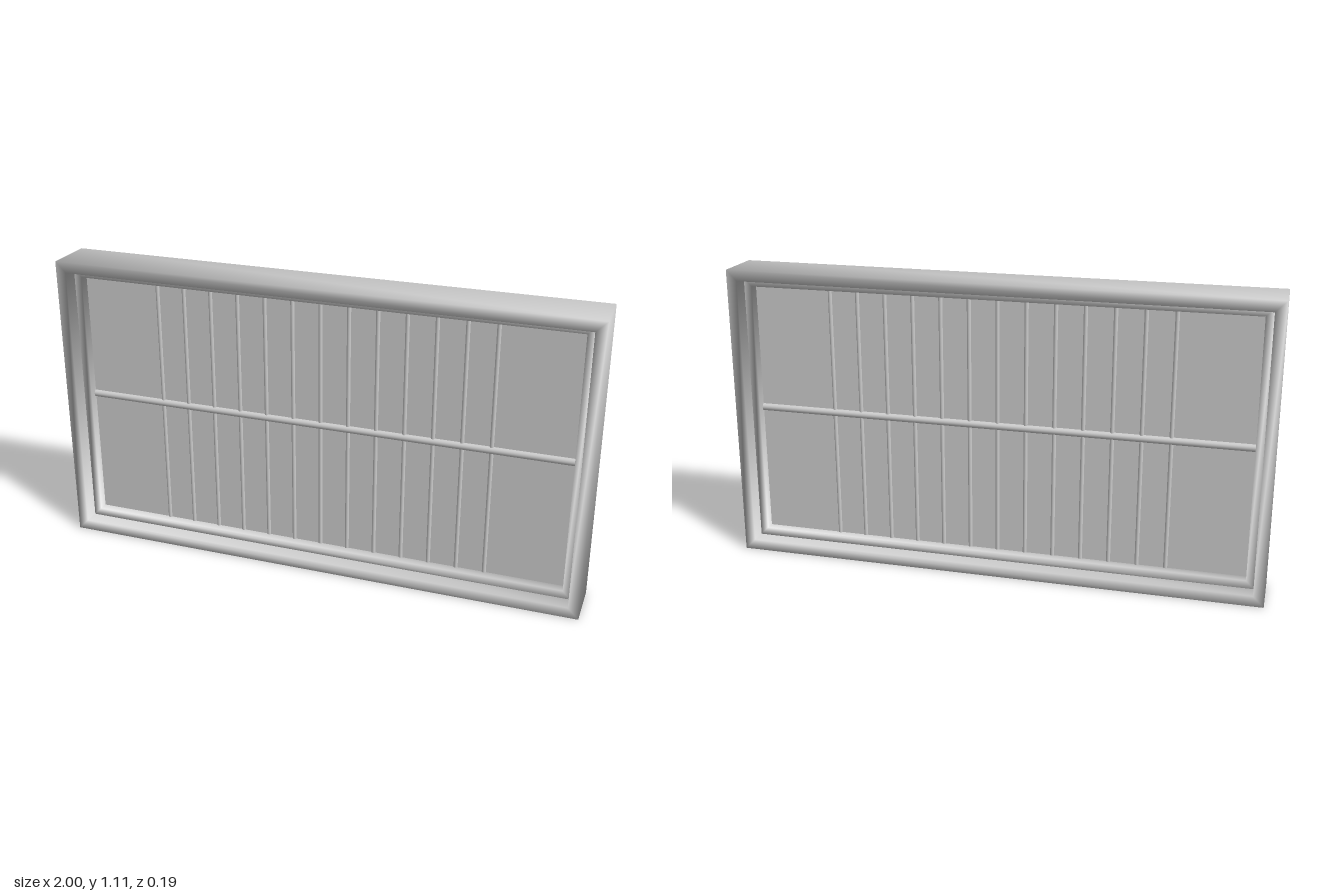
import * as THREE from 'three';

const WIDTH = 2, HEIGHT = 1.11;

// Rectangular ring: outer/inner insets from the outline, extending z = -d..d, smooth shared normals
function ringGeometry(outer, inner, d) {
  const profile = [[outer, d], [outer, -d], [inner, -d], [inner, d]];
  const corners = [[-1, -1], [1, -1], [1, 1], [-1, 1]];
  const positions = [], index = [];
  corners.forEach(([sx, sy], k) => profile.forEach(([inset, z], j) => {
    positions.push(sx * (WIDTH / 2 - inset), HEIGHT / 2 + sy * (HEIGHT / 2 - inset), z);
    const n = ((k + 1) % 4) * 4, m = (j + 1) % 4;
    const a = k * 4 + j, b = k * 4 + m, c = n + m, e = n + j;
    index.push(a, b, c, a, c, e);
  }));
  const geometry = new THREE.BufferGeometry();
  geometry.setAttribute('position', new THREE.Float32BufferAttribute(positions, 3));
  geometry.setIndex(index);
  geometry.computeVertexNormals();
  return geometry;
}

export function createModel() {
  const model = new THREE.Group();
  model.name = 'barredWindow';
  const material = new THREE.MeshStandardMaterial({ color: 0xcccccc });
  const add = (name, geometry, parent = model) => {
    const mesh = new THREE.Mesh(geometry, material);
    mesh.name = name;
    parent.add(mesh);
    return mesh;
  };

  // Deep outer casing and the shallower sash set inside it
  add('outerFrame', ringGeometry(0, 0.04, 0.095));
  add('innerSash', ringGeometry(0.04, 0.075 - 0.005, 0.037));

  // Thin pane in the middle of the depth
  add('pane', new THREE.BoxGeometry(1.87, 0.99, 0.004)).position.y = HEIGHT / 2;

  // Upright bars, visible on both faces of the pane
  const bars = new THREE.Group();
  bars.name = 'uprightBars';
  model.add(bars);
  const barGeometry = new THREE.CylinderGeometry(0.008, 0.008, 0.99, 16);
  for (let i = -6; i <= 6; i++) {
    add('uprightBar', barGeometry, bars).position.set(i * 0.106, HEIGHT / 2, 0);
  }

  // Thicker horizontal rail
  const rail = add('crossRail', new THREE.CylinderGeometry(0.014, 0.014, 1.87, 20));
  rail.rotation.z = Math.PI / 2;
  rail.position.y = 0.563;

  return model;
}
